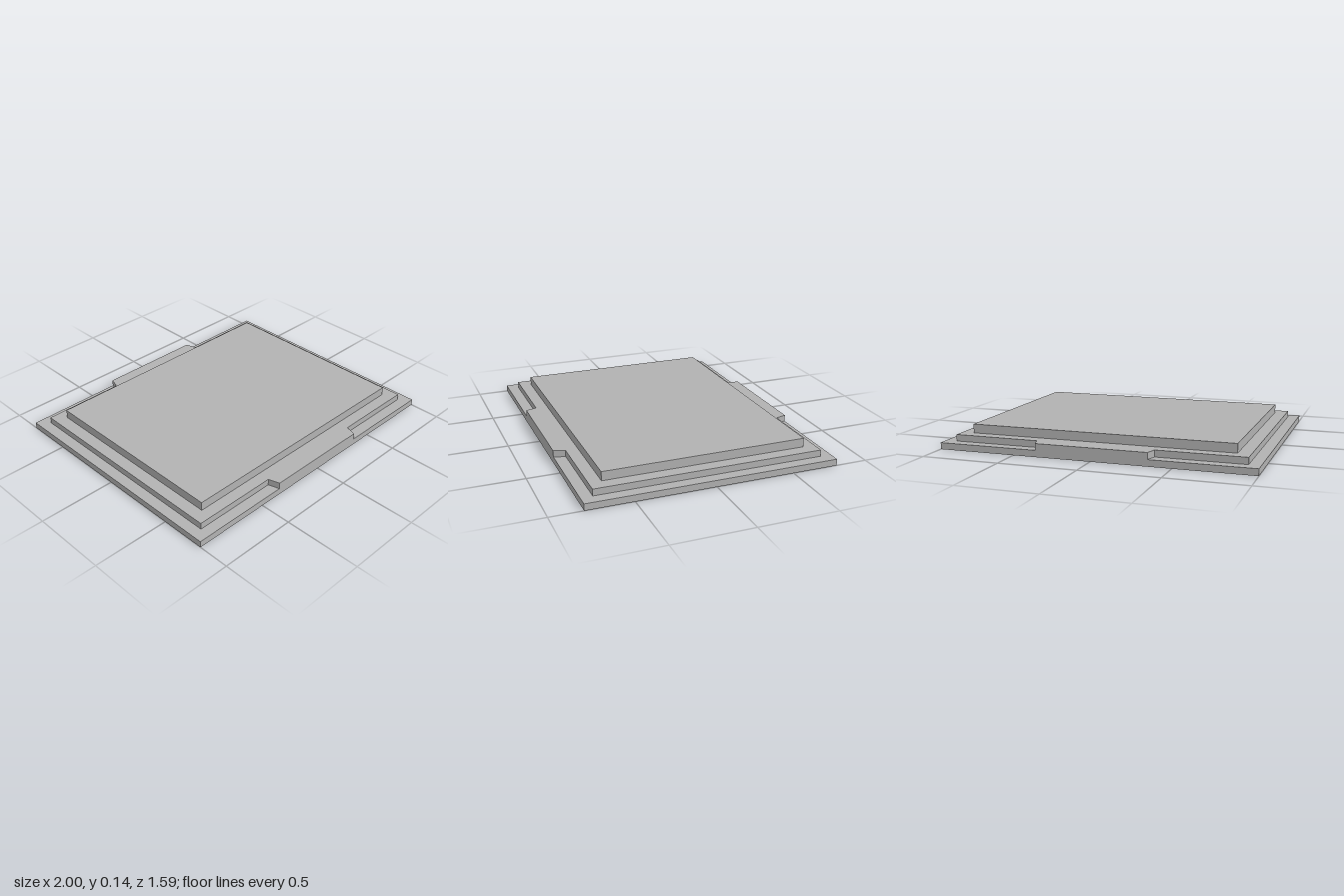
import * as THREE from 'three';

export function createModel() {
  const model = new THREE.Group();
  model.name = 'steppedPlate';
  const grey = new THREE.MeshStandardMaterial({ color: 0xb2b2b2 });
  grey.name = 'grey';

  // Flat slab from a plan outline, spanning heights y0 to y1
  function slab(name, points, y0, y1) {
    const shape = new THREE.Shape(points.map(([x, z]) => new THREE.Vector2(x, -z)));
    const geometry = new THREE.ExtrudeGeometry(shape, { depth: y1 - y0, bevelEnabled: false });
    geometry.rotateX(-Math.PI / 2).translate(0, y0, 0);
    const mesh = new THREE.Mesh(geometry, grey);
    mesh.name = name;
    model.add(mesh);
  }

  const rectangle = (x, z) => [[-x, z], [x, z], [x, -z], [-x, -z]];

  // Bottom plate
  slab('basePlate', rectangle(1, 0.796), 0, 0.042);

  // Middle step, with a tapered tab reaching the front and back edges
  const frontEdge = [
    [-0.928, 0.724], [-0.375, 0.724], [-0.354, 0.796],
    [0.354, 0.796], [0.375, 0.724], [0.928, 0.724],
  ];
  const backEdge = frontEdge.map(([x, z]) => [-x, -z]);
  slab('middleStep', [...frontEdge, ...backEdge], 0.042, 0.084);

  // Raised top panel
  slab('topPanel', rectangle(0.848, 0.647), 0.084, 0.141);

  return model;
}
